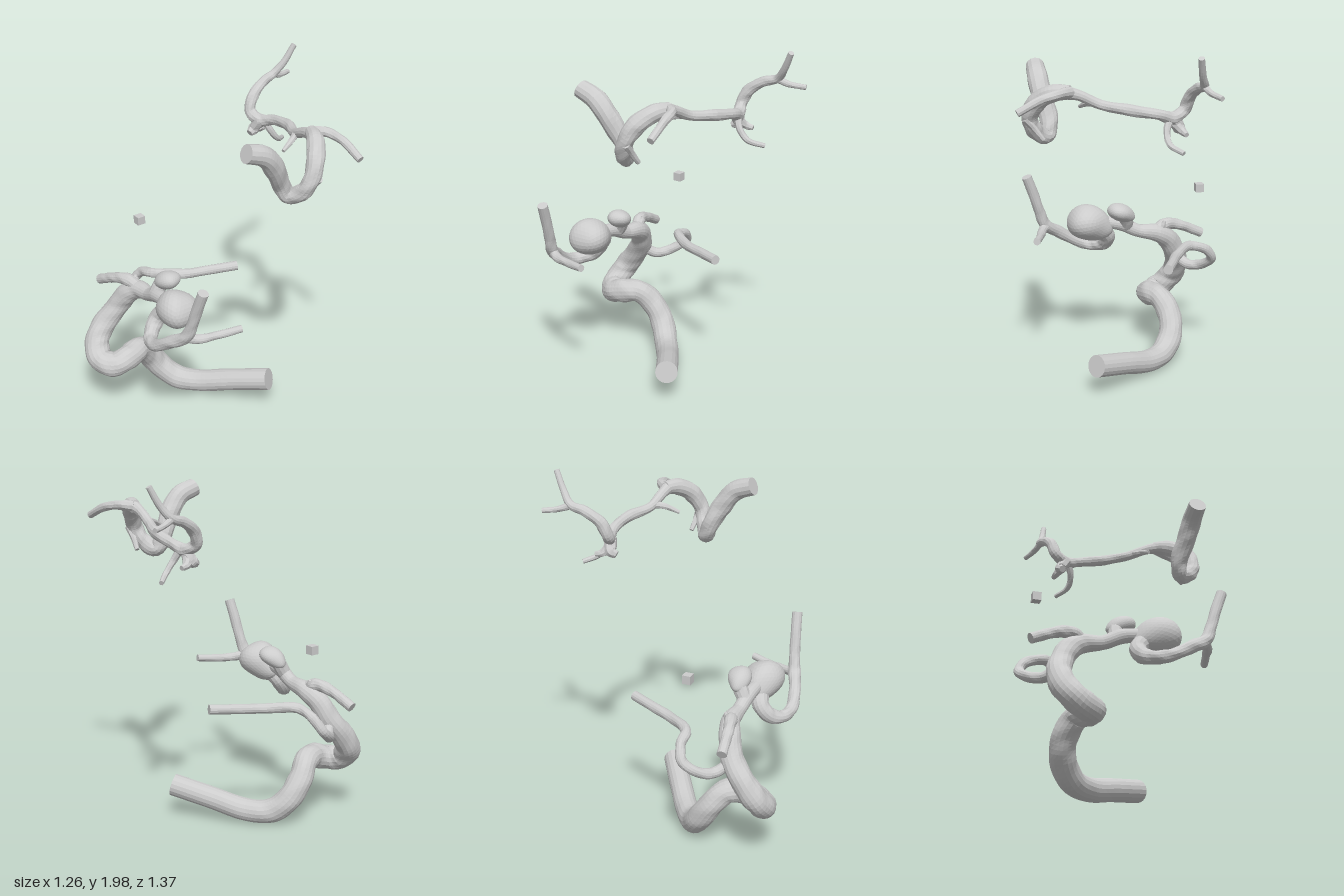
import * as THREE from 'three';

const material = new THREE.MeshStandardMaterial({ color: 0xcccccc, flatShading: true });

// Tapering vessel through points [x, y, z, radius], with closed ends
function vessel(name, points, sides = 14, stepsPerSpan = 6, wobble = 0.04) {
  const curve = new THREE.CatmullRomCurve3(points.map(p => new THREE.Vector3(p[0], p[1], p[2])), false, 'centripetal');
  const spans = points.length - 1;
  const steps = spans * stepsPerSpan;
  const positions = [];
  const index = [];
  const normal = new THREE.Vector3(0.31, 0.83, 0.46);
  const binormal = new THREE.Vector3();
  for (let i = 0; i <= steps; i++) {
    const t = i / steps;
    const centre = curve.getPoint(t);
    const tangent = curve.getTangent(t);
    normal.addScaledVector(tangent, -normal.dot(tangent)).normalize();
    binormal.crossVectors(tangent, normal);
    const k = Math.min(Math.floor(t * spans), spans - 1);
    const radius = THREE.MathUtils.lerp(points[k][3], points[k + 1][3], t * spans - k);
    const fade = wobble * Math.sin(Math.PI * t);
    for (let j = 0; j < sides; j++) {
      const a = (j / sides) * Math.PI * 2;
      const r = radius * (1 + fade * (Math.sin(2 * a + i * 0.7) + Math.sin(3 * a - i * 1.1)));
      const p = centre.clone().addScaledVector(normal, r * Math.cos(a)).addScaledVector(binormal, r * Math.sin(a));
      positions.push(p.x, p.y, p.z);
      if (i < steps) {
        const a0 = i * sides + j;
        const b0 = i * sides + (j + 1) % sides;
        index.push(a0, b0, b0 + sides, a0, b0 + sides, a0 + sides);
      }
    }
  }
  // End caps
  const start = positions.length / 3;
  positions.push(...points[0].slice(0, 3), ...points[spans].slice(0, 3));
  for (let j = 0; j < sides; j++) {
    const n = (j + 1) % sides;
    index.push(start, n, j);
    index.push(start + 1, steps * sides + j, steps * sides + n);
  }
  const geometry = new THREE.BufferGeometry();
  geometry.setAttribute('position', new THREE.Float32BufferAttribute(positions, 3));
  geometry.setIndex(index);
  geometry.computeVertexNormals();
  const mesh = new THREE.Mesh(geometry, material);
  mesh.name = name;
  return mesh;
}

// Lumpy egg-shaped bulge; taper narrows its -x end
function bulge(name, centre, radii, tilt, taper, lump) {
  const geometry = new THREE.IcosahedronGeometry(1, 5);
  const pos = geometry.attributes.position;
  const v = new THREE.Vector3();
  for (let i = 0; i < pos.count; i++) {
    v.fromBufferAttribute(pos, i);
    const s = 1 + lump * (Math.sin(3 * v.x + 2 * v.y) + Math.sin(4 * v.z - 2 * v.x + 1));
    const narrow = 1 + taper * v.x;
    pos.setXYZ(i, v.x * radii[0] * s, v.y * radii[1] * s * narrow, v.z * radii[2] * s * narrow);
  }
  geometry.computeVertexNormals();
  const mesh = new THREE.Mesh(geometry, material);
  mesh.name = name;
  mesh.position.set(...centre);
  mesh.rotation.set(...tilt);
  return mesh;
}

export function createModel() {
  const model = new THREE.Group();
  model.name = 'arteries';

  // Lower vessel tree
  const lower = new THREE.Group();
  lower.name = 'lowerArteryTree';
  lower.add(
    vessel('inletArtery', [
      [0.17, 0.2, -0.17, 0.063], [-0.02, 0.145, -0.04, 0.063], [-0.18, 0.095, 0.075, 0.064],
      [-0.29, 0.1, 0.165, 0.068], [-0.36, 0.18, 0.24, 0.07], [-0.37, 0.28, 0.31, 0.068],
      [-0.33, 0.36, 0.39, 0.066], [-0.295, 0.355, 0.48, 0.07], [-0.31, 0.33, 0.57, 0.07],
      [-0.38, 0.345, 0.615, 0.07], [-0.45, 0.42, 0.595, 0.07], [-0.465, 0.51, 0.535, 0.066],
      [-0.435, 0.62, 0.455, 0.062], [-0.385, 0.71, 0.42, 0.06], [-0.31, 0.765, 0.39, 0.052],
      [-0.2, 0.785, 0.39, 0.038], [-0.1, 0.83, 0.4, 0.04], [0.02, 0.85, 0.41, 0.035],
    ], 18, 6, 0.025),
    vessel('sideBranch', [
      [-0.31, 0.775, 0.39, 0.035], [-0.365, 0.805, 0.415, 0.036], [-0.45, 0.79, 0.44, 0.03],
      [-0.53, 0.755, 0.456, 0.028], [-0.6, 0.72, 0.468, 0.028],
    ]),
    vessel('sideBranchSpur', [[-0.335, 0.79, 0.39, 0.025], [-0.35, 0.815, 0.385, 0.018], [-0.355, 0.835, 0.38, 0.008]], 8, 3),
    vessel('backBranch', [
      [-0.44, 0.6, 0.45, 0.03], [-0.5, 0.555, 0.39, 0.03], [-0.56, 0.565, 0.34, 0.028],
      [-0.605, 0.63, 0.25, 0.027], [-0.56, 0.7, 0.215, 0.027], [-0.46, 0.735, 0.2, 0.028],
      [-0.345, 0.735, 0.055, 0.028], [-0.28, 0.745, -0.09, 0.027], [-0.22, 0.755, -0.225, 0.027],
    ]),
    bulge('smallAneurysm', [-0.09, 0.913, 0.345], [0.086, 0.05, 0.065], [0, 0.25, 0.42], 0.1, 0.03),
    vessel('smallAneurysmNeck', [[-0.13, 0.82, 0.395, 0.04], [-0.12, 0.89, 0.355, 0.042]], 12, 3),
    bulge('largeAneurysm', [0.08, 0.84, 0.41], [0.135, 0.1, 0.107], [0, 0, 0.3], 0.2, 0.04),
    vessel('outletArtery', [
      [0.02, 0.81, 0.42, 0.05], [-0.025, 0.75, 0.445, 0.047], [-0.015, 0.695, 0.49, 0.043],
      [0.04, 0.67, 0.54, 0.036], [0.12, 0.685, 0.565, 0.033], [0.24, 0.76, 0.54, 0.034],
      [0.33, 0.825, 0.5, 0.035], [0.365, 0.91, 0.485, 0.03], [0.4, 1.02, 0.475, 0.03], [0.44, 1.13, 0.465, 0.029],
    ]),
    vessel('outletBranch', [
      [0.32, 0.82, 0.505, 0.028], [0.355, 0.805, 0.45, 0.026], [0.385, 0.805, 0.35, 0.022], [0.428, 0.82, 0.213, 0.02],
    ]),
  );

  // Upper vessel tree
  const upper = new THREE.Group();
  upper.name = 'upperArteryTree';
  upper.add(
    vessel('upperLoop', [
      [0.425, 1.83, 0.19, 0.05], [0.43, 1.79, 0.085, 0.055], [0.42, 1.7, 0.01, 0.056],
      [0.395, 1.58, -0.055, 0.048], [0.415, 1.51, -0.09, 0.042], [0.485, 1.555, -0.13, 0.045],
      [0.515, 1.63, -0.16, 0.043], [0.485, 1.72, -0.205, 0.05], [0.41, 1.775, -0.26, 0.047], [0.325, 1.785, -0.3, 0.036],
    ]),
    vessel('outerBranch', [
      [0.33, 1.785, -0.3, 0.032], [0.385, 1.79, -0.352, 0.026], [0.49, 1.77, -0.38, 0.023], [0.615, 1.71, -0.392, 0.02],
    ], 10),
    vessel('crossArtery', [
      [0.36, 1.785, -0.29, 0.038], [0.28, 1.765, -0.295, 0.028], [0.17, 1.715, -0.315, 0.026], [0.04, 1.695, -0.375, 0.03],
      [-0.12, 1.665, -0.392, 0.028], [-0.2, 1.64, -0.37, 0.034], [-0.265, 1.675, -0.345, 0.032],
      [-0.285, 1.75, -0.375, 0.032], [-0.305, 1.81, -0.46, 0.027], [-0.315, 1.835, -0.535, 0.023],
      [-0.29, 1.9, -0.59, 0.019], [-0.267, 2.0, -0.642, 0.016],
    ], 12),
    vessel('crossArteryFork', [[-0.312, 1.835, -0.53, 0.02], [-0.335, 1.81, -0.6, 0.016], [-0.367, 1.8, -0.68, 0.014]], 10),
    vessel('crossArteryTwig', [[0.19, 1.725, -0.31, 0.02], [0.23, 1.71, -0.245, 0.017], [0.253, 1.68, -0.175, 0.01]], 8),
    vessel('loopTwig', [[0.54, 1.63, -0.185, 0.022], [0.5, 1.58, -0.185, 0.018], [0.45, 1.515, -0.195, 0.013]], 8),
    vessel('lowerTwig', [
      [-0.18, 1.64, -0.38, 0.022], [-0.155, 1.575, -0.41, 0.018], [-0.16, 1.52, -0.46, 0.016], [-0.215, 1.49, -0.53, 0.013],
    ], 8),
    vessel('frontTwig', [[-0.2, 1.64, -0.365, 0.035], [-0.235, 1.58, -0.345, 0.033], [-0.23, 1.565, -0.315, 0.02]], 8),
    vessel('backTwig', [[-0.21, 1.61, -0.36, 0.03], [-0.245, 1.57, -0.39, 0.022], [-0.255, 1.56, -0.43, 0.014]], 8),
  );

  // Loose cube
  const cube = new THREE.Mesh(new THREE.BoxGeometry(0.047, 0.047, 0.047), material);
  cube.name = 'smallCube';
  cube.position.set(-0.52, 1.07, 0.24);

  model.add(lower, upper, cube);
  return model;
}
